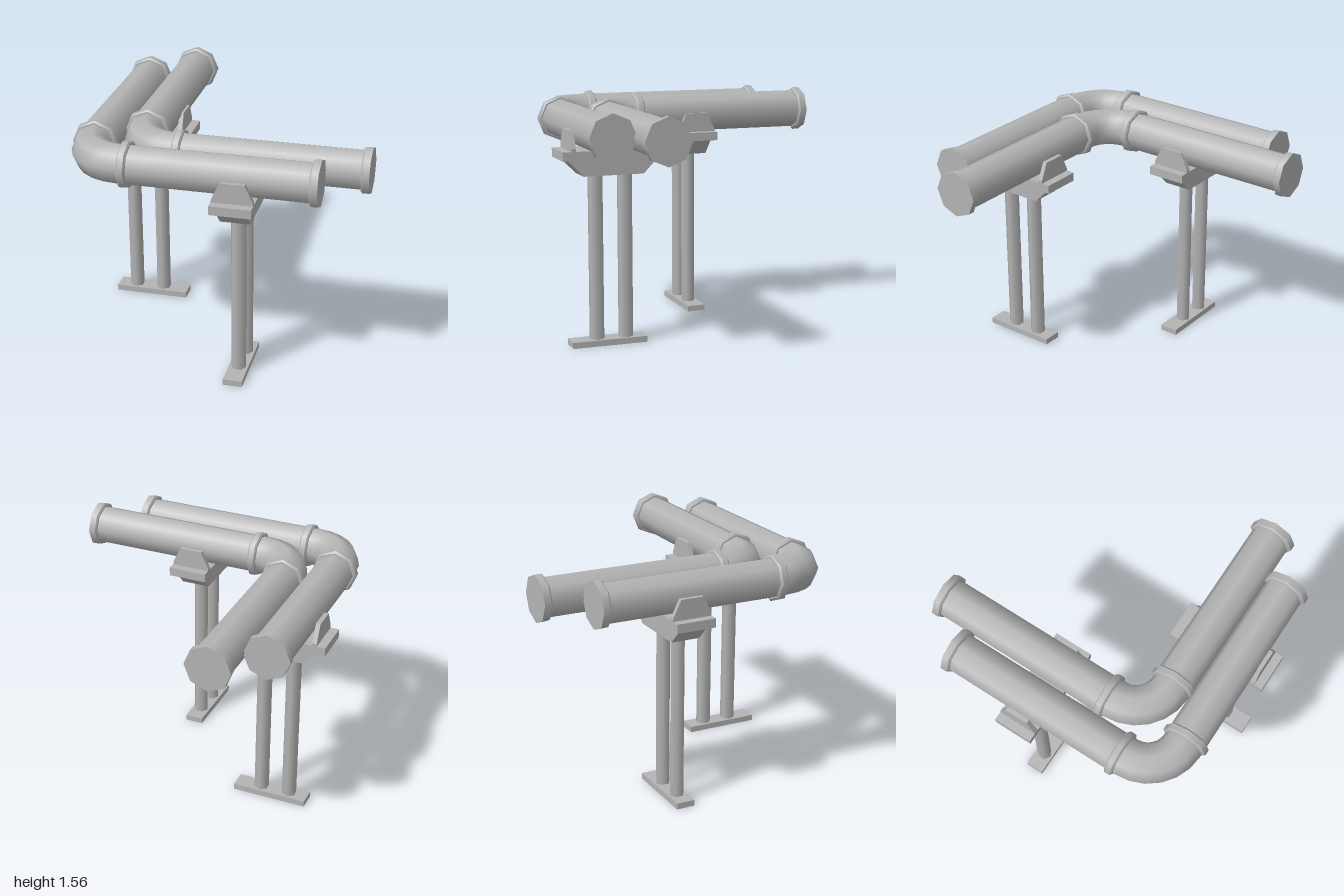
import * as THREE from 'three';

const steel = new THREE.MeshStandardMaterial({ color: 0xb4b4b4 });
steel.name = 'steel grey';

const PIPE_Y = 1.41, PIPE_R = 0.13, RING_R = 0.152, BEND_R = 0.25;

function add(parent, name, geometry, x = 0, y = 0, z = 0) {
  const mesh = new THREE.Mesh(geometry, steel);
  mesh.name = name;
  mesh.position.set(x, y, z);
  parent.add(mesh);
  return mesh;
}

// Octagonal collar along local y, with bevelled rims; end collars are flat on the outer side
function collar(name, length, bevelTop) {
  const g = new THREE.Group();
  g.name = name;
  const b = 0.01, r = RING_R, inner = r - 0.012;
  const top = bevelTop ? b : 0;
  add(g, 'collarBand', new THREE.CylinderGeometry(r, r, length - b - top, 8, 1, true), 0, (b - top) / 2, 0);
  add(g, 'collarBevel', new THREE.CylinderGeometry(r, inner, b, 8, 1, true), 0, -length / 2 + b / 2, 0);
  if (bevelTop) add(g, 'collarBevel', new THREE.CylinderGeometry(inner, r, b, 8, 1, true), 0, length / 2 - b / 2, 0);
  const faceTop = new THREE.CircleGeometry(bevelTop ? inner : r, 8).rotateX(-Math.PI / 2);
  const faceBottom = new THREE.CircleGeometry(inner, 8).rotateX(Math.PI / 2);
  add(g, 'collarFace', faceTop, 0, length / 2, 0);
  add(g, 'collarFace', faceBottom, 0, -length / 2, 0);
  return g;
}

// Straight run along local y from the bend (0) to the open end (length)
function straightRun(length) {
  const g = new THREE.Group();
  g.name = 'straightRun';
  add(g, 'pipe', new THREE.CylinderGeometry(PIPE_R, PIPE_R, length, 8, 1, true), 0, length / 2, 0);
  const joint = collar('jointCollar', 0.056, true);
  joint.position.y = 0.028;
  const end = collar('endCollar', 0.054, false);
  end.position.y = length - 0.027;
  g.add(joint, end);
  return g;
}

// L-shaped pipe: one run to the back, one run to the model's left
function pipeline(name, x, z, backEnd, sideEnd) {
  const g = new THREE.Group();
  g.name = name;
  const cx = x + BEND_R, cz = z - BEND_R;
  const elbow = new THREE.TorusGeometry(BEND_R, PIPE_R, 8, 6, Math.PI / 2);
  elbow.rotateZ(Math.PI / 2).rotateX(Math.PI / 2);
  add(g, 'elbow', elbow, cx, PIPE_Y, cz);

  const startZ = cz - 0.013, startX = cx + 0.013;
  add(g, 'elbowSleeve', new THREE.CylinderGeometry(PIPE_R, PIPE_R, 0.02, 8, 1, true).rotateX(Math.PI / 2), x, PIPE_Y, cz - 0.008);
  add(g, 'elbowSleeve', new THREE.CylinderGeometry(PIPE_R, PIPE_R, 0.02, 8, 1, true).rotateZ(Math.PI / 2), cx + 0.008, PIPE_Y, z);

  const back = straightRun(startZ - backEnd);
  back.rotation.x = -Math.PI / 2;
  back.position.set(x, PIPE_Y, startZ);
  const side = straightRun(sideEnd - startX);
  side.rotation.z = -Math.PI / 2;
  side.position.set(startX, PIPE_Y, z);
  g.add(back, side);
  return g;
}

function extrude(points, depth, holes = []) {
  const shape = new THREE.Shape(points.map(([a, b]) => new THREE.Vector2(a, b)));
  for (const h of holes) shape.holes.push(new THREE.Path(h.map(([a, b]) => new THREE.Vector2(a, b))));
  return new THREE.ExtrudeGeometry(shape, { depth, bevelEnabled: false }).translate(0, 0, -depth / 2);
}

const rect = (w, h) => [[-w / 2, -h / 2], [w / 2, -h / 2], [w / 2, h / 2], [-w / 2, h / 2]];

// Two-legged stand, wide along local x
function support(name) {
  const g = new THREE.Group();
  g.name = name;

  // Hollow foot: rim with a top plate
  const rim = extrude(rect(0.505, 0.125), 0.03, [rect(0.465, 0.085).reverse()]).rotateX(Math.PI / 2);
  add(g, 'footRim', rim, 0.023, 0.015, 0);
  add(g, 'footPlate', new THREE.BoxGeometry(0.505, 0.01, 0.125), 0.023, 0.035, 0);

  for (const x of [-0.1, 0.097]) {
    add(g, 'leg', new THREE.CylinderGeometry(0.049, 0.049, 1.11, 6), x, 0.575, 0);
  }

  // Tapered head and saddle plate
  add(g, 'head', extrude([[-0.2, 1.122], [0.2, 1.122], [0.305, 1.23], [-0.305, 1.23]], 0.192));
  add(g, 'saddlePlate', new THREE.BoxGeometry(0.685, 0.058, 0.262), 0, 1.258, 0);

  // Cheeks clamping the outer sides of the two pipes
  const profile = [[-0.13, 1.285], [0.13, 1.285], [0.13, 1.305], [0.077, 1.417], [-0.077, 1.417], [-0.13, 1.305]];
  for (const s of [-1, 1]) {
    add(g, 'cheek', extrude(profile, 0.03).rotateY(Math.PI / 2), s * 0.271, 0, 0);
  }
  return g;
}

export function createModel() {
  const model = new THREE.Group();
  model.name = 'pipeRack';
  model.add(pipeline('outerPipe', -0.782, 0.79, -0.74, 0.722));
  model.add(pipeline('innerPipe', -0.512, 0.53, -1.0, 0.99));

  const backSupport = support('backSupport');
  backSupport.position.set(-0.654, 0, -0.162);
  const sideSupport = support('sideSupport');
  sideSupport.position.set(0.21, 0, 0.658);
  sideSupport.rotation.y = -Math.PI / 2;
  model.add(backSupport, sideSupport);
  return model;
}
